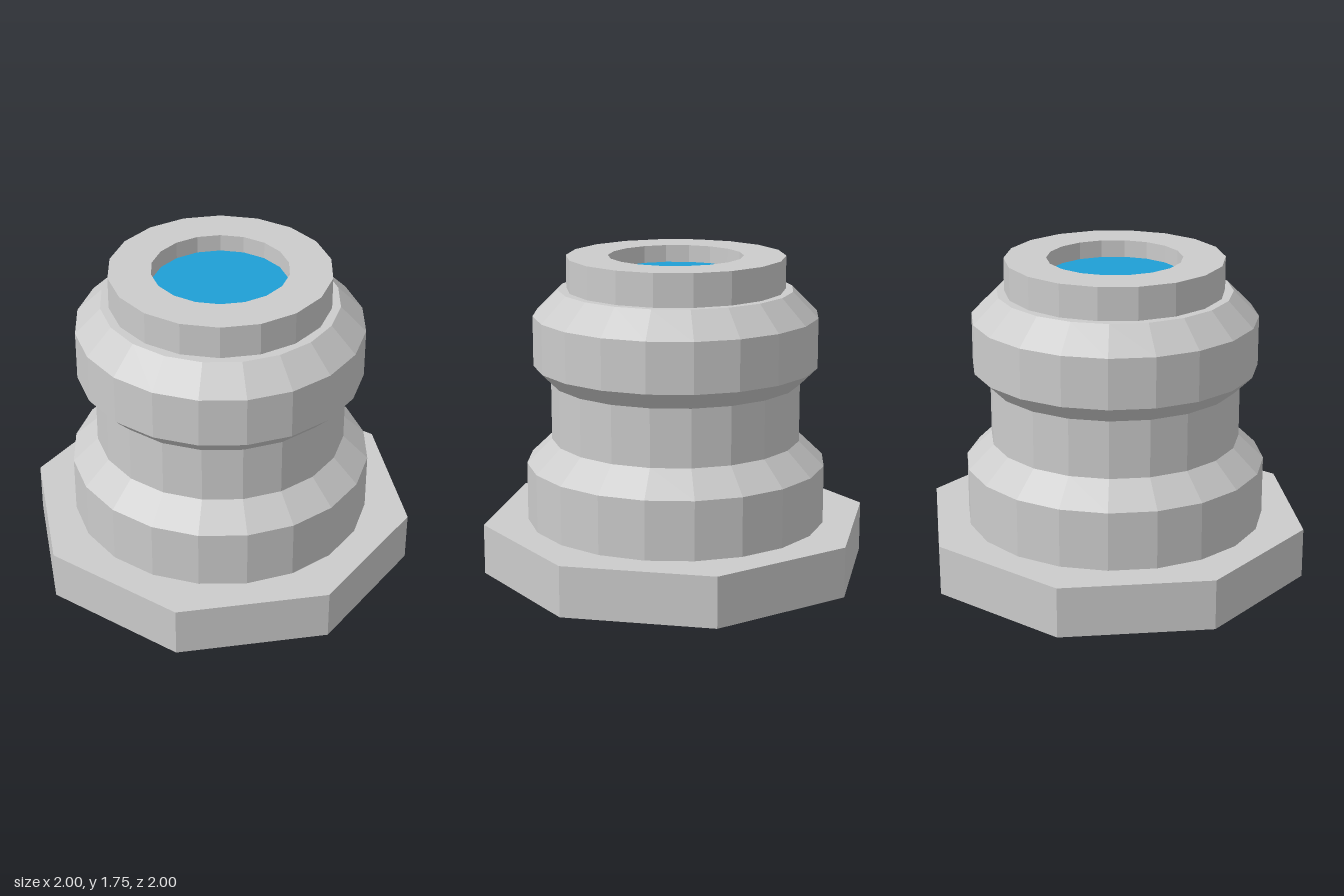
import * as THREE from 'three';

export function createModel() {
  const group = new THREE.Group();
  const grey = new THREE.MeshStandardMaterial({ color: 0xcccccc, flatShading: true });
  const blue = new THREE.MeshStandardMaterial({ color: 0x1f9fd6, flatShading: true });

  const add = (name, geometry, material = grey) => {
    const mesh = new THREE.Mesh(geometry, material);
    mesh.name = name;
    group.add(mesh);
    return mesh;
  };
  // Faceted turned part from [radius, height] pairs, listed bottom to top
  const turned = (profile, sides, start = 0) =>
    new THREE.LatheGeometry(profile.map(([r, y]) => new THREE.Vector2(r, y)), sides, start);

  // Octagonal base plate, flat sides facing the axes
  const baseRadius = 1 / Math.cos(Math.PI / 8);
  add('base', new THREE.CylinderGeometry(baseRadius, baseRadius, 0.28, 8, 1, false, Math.PI / 8))
    .position.y = 0.14;

  // Body: lower drum, narrow neck and bevelled upper band
  add('body', turned([
    [0.83, 0.28], [0.83, 0.605], [0.69, 0.74], [0.69, 1.06],
    [0.785, 1.155], [0.785, 1.43], [0.645, 1.57], [0, 1.57],
  ], 20));

  // Collar with a recessed opening
  add('collar', turned([
    [0.6, 1.57], [0.6, 1.75], [0.37, 1.75], [0.37, 1.655],
  ], 18, Math.PI / 2));

  // Coloured disc at the bottom of the recess
  add('recessDisc', new THREE.CircleGeometry(0.37, 18).rotateX(-Math.PI / 2), blue)
    .position.y = 1.655;

  return group;
}
